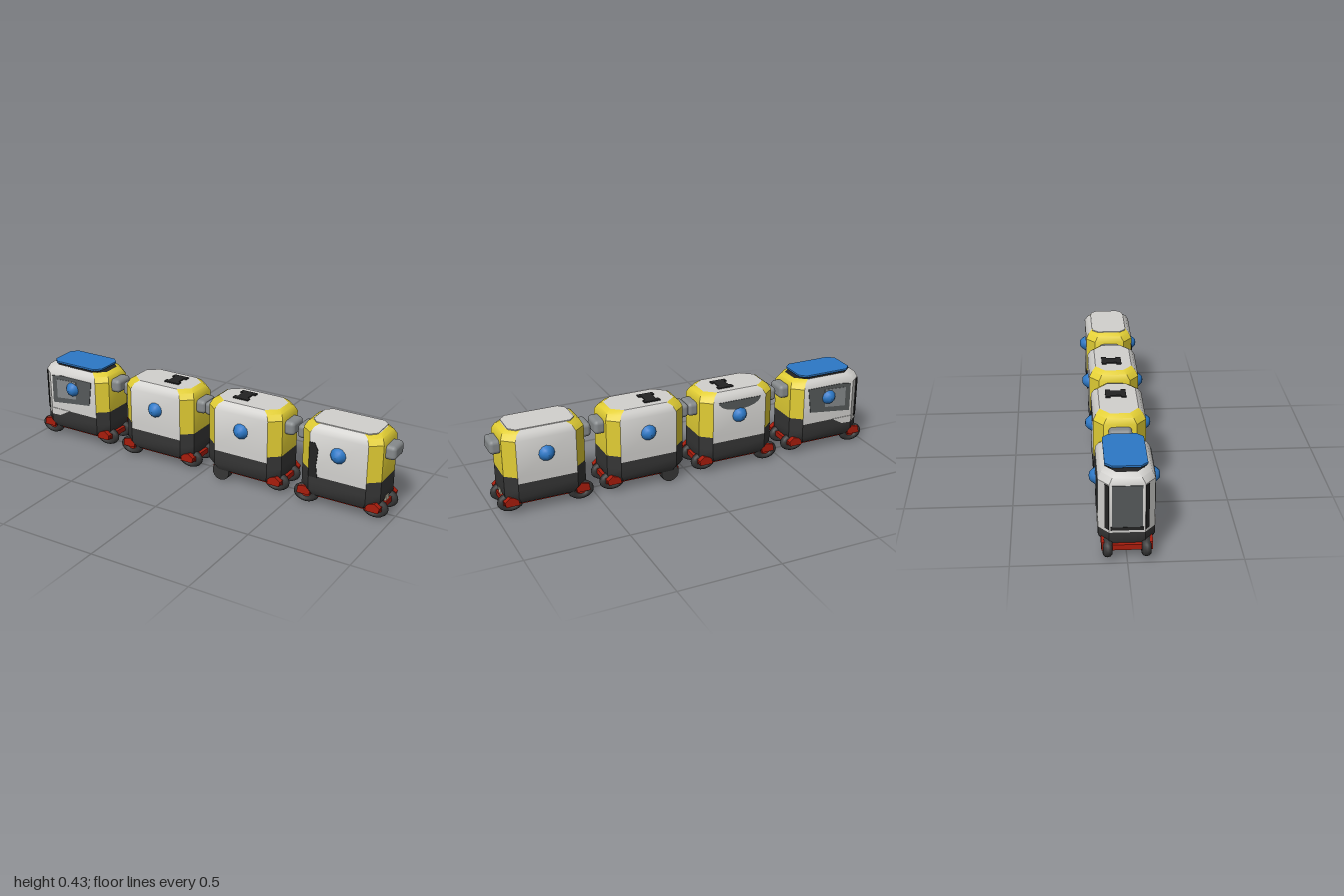
import * as THREE from 'three';
import { toCreasedNormals } from 'three/addons/utils/BufferGeometryUtils.js';
import { RoundedBoxGeometry } from 'three/addons/geometries/RoundedBoxGeometry.js';

const colours = {
  white: 0xd2d1ce, yellow: 0xe2ce34, charcoal: 0x353535, red: 0xa81c0c, blue: 0x2c78c6,
  grey: 0x868a8c, glass: 0x55595a, black: 0x232323, beige: 0xcac3ac,
};
const mat = {};
const HX = 0.2, HZ = 0.122, CX = 0.055, CZ = 0.045;

function add(parent, name, geo, colour, x = 0, y = 0, z = 0) {
  const mesh = new THREE.Mesh(geo, mat[colour]);
  mesh.name = name;
  mesh.position.set(x, y, z);
  parent.add(mesh);
  return mesh;
}

// Octagonal ring of corners, starting on the front (+z) side
function ring([y, hx, hz]) {
  const a = hx - CX, b = hz - CZ;
  return [[-a, hz], [a, hz], [hx, b], [hx, -b], [a, -hz], [-a, -hz], [-hx, -b], [-hx, b]]
    .map(([x, z]) => [x, y, z]);
}

// Lofted car body, each facet sorted into the mesh of its colour
function addBody(car, isCab) {
  const top = isCab ? 0.402 : 0.422;
  const levels = [[0.058, 0.185, 0.106], [0.09, HX, HZ]];
  for (const y of [0.13, 0.165, 0.197, top - 0.042]) levels.push([y, HX, HZ]);
  levels.push([top - 0.015, 0.187, 0.107], [top, 0.165, 0.09]);
  const rings = levels.map(ring), faces = {};
  const put = (colour, ...pts) => (faces[colour] ??= []).push(...pts.flat());
  const colourOf = (i, y) => {
    const cabNose = isCab && i >= 5;
    const split = cabNose ? 0.13 : i % 4 === 0 ? 0.165 : 0.197;
    if (y < split) return 'charcoal';
    return i % 4 === 0 || cabNose ? 'white' : 'yellow';
  };
  for (let i = 0; i < 8; i++) {
    const j = (i + 1) % 8;
    for (let k = 0; k < rings.length - 1; k++) {
      const [a, b, c, d] = [rings[k][i], rings[k][j], rings[k + 1][j], rings[k + 1][i]];
      put(colourOf(i, (a[1] + d[1]) / 2), a, b, c, a, c, d);
    }
    const last = rings[rings.length - 1];
    put(isCab ? 'black' : 'white', [0, top, 0], last[i], last[j]);
    put('charcoal', [0, 0.058, 0], rings[0][j], rings[0][i]);
  }
  for (const colour in faces) {
    const geo = new THREE.BufferGeometry();
    geo.setAttribute('position', new THREE.Float32BufferAttribute(faces[colour], 3));
    add(car, colour + 'BodyPanels', toCreasedNormals(geo, 0.6), colour);
  }
}

function plate(points, depth) {
  const shape = new THREE.Shape(points.map(([x, y]) => new THREE.Vector2(x, y)));
  return new THREE.ExtrudeGeometry(shape, { depth, bevelEnabled: false });
}

// Thin painted plate on the front (side 1) or back (side -1) wall
function sidePlate(car, name, points, colour, side, depth = 0.003) {
  const mesh = add(car, name, plate(points.map(([x, y]) => [x * side, y]), depth), colour, 0, 0, side * HZ);
  if (side < 0) mesh.rotation.y = Math.PI;
}

// Flat roof panel with cut corners
function roofPanel(car, name, hx, hz, y, colour, depth) {
  const c = 0.03;
  const pts = [[-hx + c, -hz], [hx - c, -hz], [hx, -hz + c], [hx, hz - c],
    [hx - c, hz], [-hx + c, hz], [-hx, hz - c], [-hx, -hz + c]];
  add(car, name, plate(pts, depth).rotateX(-Math.PI / 2), colour, 0, y, 0);
}

function addKnobs(car) {
  const profile = [[0.04, 0], [0.036, 0.01], [0.027, 0.022], [0.017, 0.032], [0, 0.035]]
    .map(([r, h]) => new THREE.Vector2(r, h));
  for (const side of [1, -1]) {
    const knob = add(car, 'sideKnob', new THREE.LatheGeometry(profile, 12), 'blue', 0, 0.297, side * 0.12);
    knob.rotation.x = side * Math.PI / 2;
  }
}

function addCoupler(car, end) {
  add(car, 'coupler', new RoundedBoxGeometry(0.06, 0.07, 0.108, 3, 0.02), 'grey', end * 0.217, 0.335, 0);
}

function addChassis(car, shortLeft) {
  const left = shortLeft ? -0.17 : -0.2;
  for (const side of [1, -1]) {
    add(car, 'chassisRail', new THREE.BoxGeometry(0.2 - left, 0.02, 0.03), 'red', (0.2 + left) / 2, 0.055, side * 0.075);
  }
  for (const x of [-0.09, 0, 0.09]) {
    add(car, 'crossMember', new THREE.BoxGeometry(0.025, 0.018, 0.14), 'red', x, 0.054, 0);
  }
  for (const end of [-1, 1]) {
    if (end < 0 && shortLeft) continue;
    add(car, 'axleBeam', new THREE.BoxGeometry(0.07, 0.026, 0.17), 'red', end * 0.175, 0.062, 0);
    for (const side of [1, -1]) {
      const bracket = plate([[-0.035, 0.05], [0.03, 0.05], [0.036, 0.075], [0.01, 0.095], [-0.03, 0.085]], 0.026);
      add(car, 'wheelBracket', bracket, 'red', end * 0.175, 0, side * 0.097 - 0.013);
      // Oval ring tyre with a red hub
      const z = side * (end > 0 ? 0.058 : 0.083);
      const tyre = add(car, 'tyre', new THREE.TorusGeometry(0.044, 0.021, 10, 20), 'charcoal', end * 0.17, 0.051, z);
      tyre.scale.y = 0.72;
      const hub = add(car, 'wheelHub', new THREE.CylinderGeometry(0.026, 0.026, 0.02, 12), 'red', end * 0.17, 0.051, z);
      hub.rotation.x = Math.PI / 2;
    }
  }
  if (!shortLeft) return;
  // Solid rollers tucked under the body
  for (const side of [1, -1]) {
    const roller = add(car, 'roller', new THREE.CylinderGeometry(0.046, 0.046, 0.042, 14), 'charcoal', -0.12, 0.046, side * 0.083);
    roller.rotation.x = Math.PI / 2;
  }
}

function addCabDetails(car) {
  for (const side of [1, -1]) {
    sidePlate(car, 'lowerTrim', [[-0.145, 0.13], [-0.09, 0.132], [-0.03, 0.166], [-0.145, 0.166]], 'white', side);
    sidePlate(car, 'sideWindow', [[-0.13, 0.2], [0.105, 0.228], [0.122, 0.358], [-0.07, 0.359], [-0.13, 0.35]], 'glass', side);
    sidePlate(car, 'windowPane', [[-0.1, 0.232], [0.02, 0.245], [0.025, 0.342], [-0.1, 0.335]], 'grey', side, 0.005);
  }
  add(car, 'windscreen', new THREE.BoxGeometry(0.006, 0.2, 0.13), 'glass', -0.2, 0.255, 0);
  add(car, 'windscreenSill', new THREE.BoxGeometry(0.008, 0.015, 0.14), 'black', -0.2, 0.15, 0);
  // Dark posts down the nose corners
  for (const side of [1, -1]) {
    const post = add(car, 'cornerPost', new THREE.BoxGeometry(0.006, 0.21, 0.025), 'black', -0.19, 0.25, side * 0.085);
    post.rotation.y = side * Math.atan2(CX, CZ);
  }
  roofPanel(car, 'roofPanel', 0.148, 0.092, 0.412, 'blue', 0.009);
  add(car, 'roofSupport', new THREE.BoxGeometry(0.26, 0.012, 0.15), 'black', 0, 0.406, 0);
  add(car, 'underPlate', new THREE.BoxGeometry(0.07, 0.004, 0.06), 'beige', -0.1, 0.044, 0);
}

function addRoofLatch(car, x) {
  add(car, 'roofLatch', new THREE.BoxGeometry(0.055, 0.008, 0.09), 'black', x, 0.424, -0.008);
  for (const z of [-0.045, 0.029]) {
    add(car, 'latchBar', new THREE.BoxGeometry(0.082, 0.008, 0.024), 'black', x, 0.424, z);
  }
}

export function createModel() {
  for (const name in colours) {
    mat[name] = new THREE.MeshStandardMaterial({ color: colours[name] });
    mat[name].name = name;
  }
  const train = new THREE.Group();
  train.name = 'train';
  const cars = [-0.765, -0.25, 0.24, 0.75].map((x, i) => {
    const car = new THREE.Group();
    car.name = i === 0 ? 'cabCar' : 'wagon' + i;
    car.position.x = x;
    addBody(car, i === 0);
    addKnobs(car);
    addChassis(car, i === 2);
    addCoupler(car, 1);
    if (i > 0) addCoupler(car, -1);
    train.add(car);
    return car;
  });
  addCabDetails(cars[0]);
  addRoofLatch(cars[1], 0.045);
  addRoofLatch(cars[2], -0.05);

  // Half-oval vent on the back of the first wagon
  const vent = [];
  for (let i = 0; i <= 12; i++) {
    const a = Math.PI + (Math.PI * i) / 12;
    vent.push([0.115 * Math.cos(a), 0.378 + 0.05 * Math.sin(a)]);
  }
  sidePlate(cars[1], 'backVent', vent, 'glass', -1);

  // Last wagon: dark handle strip, roof lid and tail plate
  sidePlate(cars[3], 'handleStrip', [[-0.145, 0.16], [-0.1, 0.16], [-0.108, 0.22], [-0.1, 0.3], [-0.118, 0.335],
    [-0.145, 0.335]], 'black', 1);
  roofPanel(cars[3], 'roofLid', 0.16, 0.088, 0.42, 'white', 0.005);
  add(cars[3], 'tailPlate', new THREE.BoxGeometry(0.008, 0.024, 0.036), 'beige', 0.2, 0.088, 0);
  return train;
}
